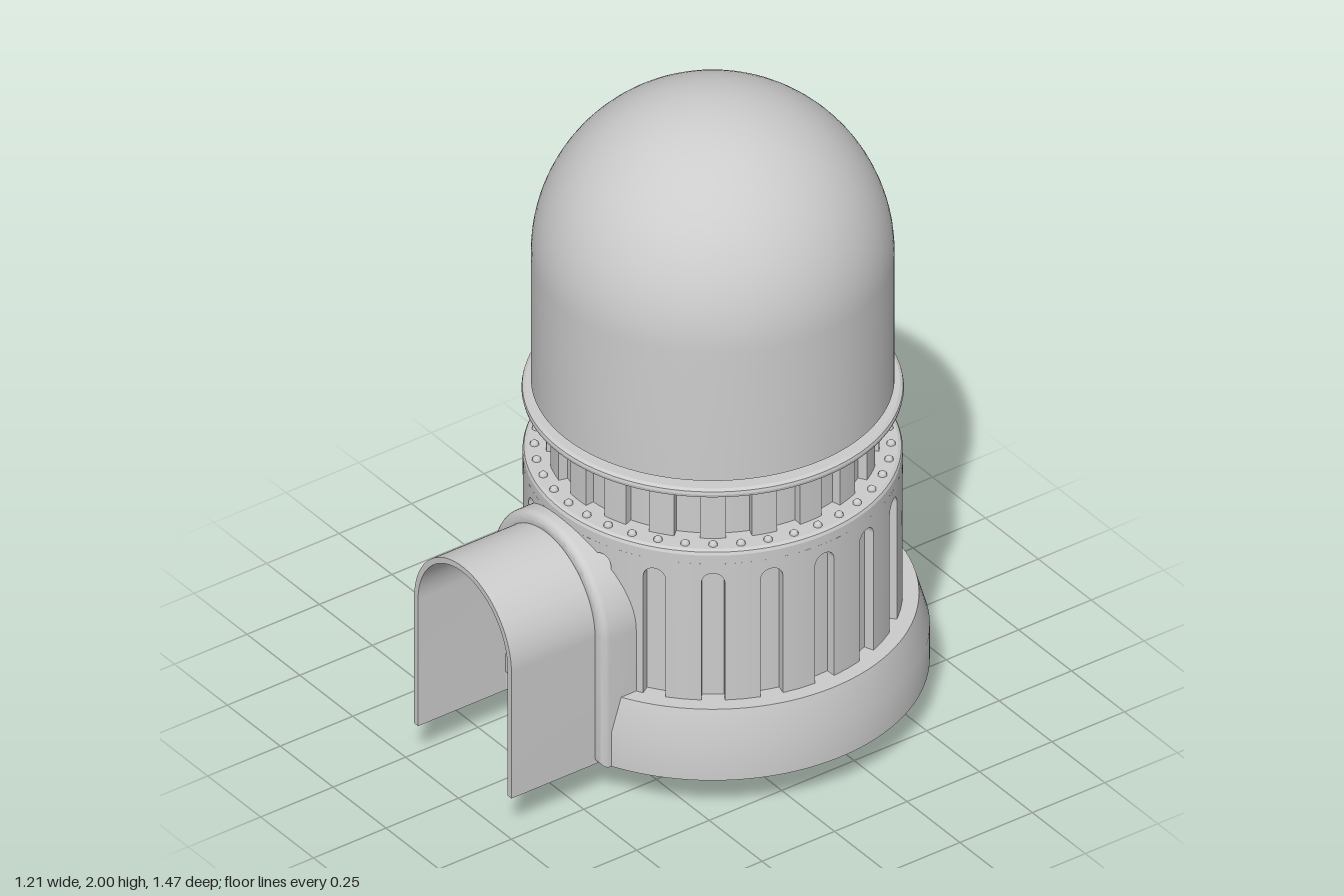
import * as THREE from 'three';
import { toCreasedNormals } from 'three/addons/utils/BufferGeometryUtils.js';

const material = new THREE.MeshStandardMaterial({ color: 0xcccccc, side: THREE.DoubleSide });
const STEP = Math.PI / 10; // twenty bays around the body

export function createModel() {
  const model = new THREE.Group();
  const body = new THREE.Group();
  body.name = 'body';
  body.position.z = -0.127;
  model.add(body);

  const add = (parent, name, geometry) => {
    const mesh = new THREE.Mesh(geometry, material);
    mesh.name = name;
    parent.add(mesh);
    return mesh;
  };
  const lathe = (name, points, start = 0, length = Math.PI * 2) =>
    add(body, name, toCreasedNormals(new THREE.LatheGeometry(
      points.map(p => new THREE.Vector2(...p)), 96, start, length), 0.4));

  // Foot and stepped collar
  lathe('foot', [[0, 0], [0.42, 0], [0.42, 0.095], [0.41, 0.105], [0.39, 0.105], [0.39, 0.125], [0, 0.125]]);

  // Tapered skirt, left open where the tunnel passes through
  const notch = 0.43;
  lathe('skirt', [[0.36, 0.12], [0.605, 0.12], [0.605, 0.235], [0.575, 0.34], [0.45, 0.34]],
    notch, Math.PI * 2 - 2 * notch);

  // Drum core behind the slots, and its rounded top
  lathe('drumCore', [[0, 0.12], [0.5, 0.12], [0.5, 0.82]]);
  lathe('drumTop', [[0.53, 0.8], [0.53, 0.828], [0.526, 0.837], [0.517, 0.842], [0.43, 0.842]]);

  // One bay of drum wall with an arched slot, bent round the drum
  const bayShape = new THREE.Shape();
  const R = 0.53, half = R * STEP / 2, slot = 0.033;
  bayShape.moveTo(-half, 0.33);
  bayShape.lineTo(-slot, 0.33);
  bayShape.lineTo(-slot, 0.735);
  bayShape.absarc(0, 0.735, slot, Math.PI, 0, true);
  bayShape.lineTo(slot, 0.33);
  bayShape.lineTo(half, 0.33);
  for (let i = 0; i <= 8; i++) bayShape.lineTo(half - i * half / 4, 0.8);
  const bay = new THREE.ExtrudeGeometry(bayShape, { depth: 0.03, bevelEnabled: false, curveSegments: 10 });
  const pos = bay.attributes.position, nor = bay.attributes.normal;
  const up = new THREE.Vector3(0, 1, 0), n = new THREE.Vector3();
  for (let i = 0; i < pos.count; i++) {
    const a = pos.getX(i) / R, r = 0.5 + pos.getZ(i);
    pos.setXYZ(i, r * Math.sin(a), pos.getY(i), r * Math.cos(a));
    n.fromBufferAttribute(nor, i).applyAxisAngle(up, a);
    nor.setXYZ(i, n.x, n.y, n.z);
  }
  for (let i = 0; i < 20; i++) add(body, 'drumBay', bay).rotation.y = i * STEP;

  // Studs on the drum's shoulder
  const stud = new THREE.SphereGeometry(0.013, 10, 6);
  for (let i = 0; i < 40; i++) {
    const a = i * STEP / 2;
    add(body, 'stud', stud).position.set(0.497 * Math.sin(a), 0.843, 0.497 * Math.cos(a));
  }

  // Fluted neck
  const neckShape = new THREE.Shape();
  for (let i = 0; i < 20; i++) {
    for (const [r, from] of [[0.465, -0.25], [0.438, 0.25]]) {
      for (let k = 0; k <= 3; k++) {
        const a = (i + from + k / 6) * STEP;
        const x = r * Math.sin(a), y = r * Math.cos(a);
        if (i === 0 && from < 0 && k === 0) neckShape.moveTo(x, y);
        else neckShape.lineTo(x, y);
      }
    }
  }
  const neck = new THREE.ExtrudeGeometry(neckShape, { depth: 0.2, bevelEnabled: false });
  neck.rotateX(-Math.PI / 2);
  add(body, 'neck', toCreasedNormals(neck, 0.4)).position.y = 0.83;

  // Rounded collar with small posts carrying the dome
  lathe('collar', [[0, 1.02], [0.522, 1.02], [0.531, 1.026], [0.533, 1.035], [0.531, 1.044], [0.522, 1.05], [0, 1.05]]);
  const post = new THREE.CylinderGeometry(0.008, 0.008, 0.03, 8);
  for (let i = 0; i < 20; i++) {
    const a = i * STEP;
    add(body, 'post', post).position.set(0.47 * Math.sin(a), 1.055, 0.47 * Math.cos(a));
  }

  // Dome
  const domeProfile = [[0, 1.065], [0.507, 1.065], [0.507, 1.493]];
  for (let i = 1; i <= 24; i++) {
    const a = i / 24 * Math.PI / 2;
    domeProfile.push([0.507 * Math.cos(a), 1.493 + 0.507 * Math.sin(a)]);
  }
  lathe('dome', domeProfile);

  // Arched tunnel parts: outer outline, returning along an inner one if given
  const arch = (outer, inner, bottom = 0.12, centre = 0.545) => {
    const s = new THREE.Shape();
    s.moveTo(outer, bottom);
    s.lineTo(outer, centre);
    s.absarc(0, centre, outer, 0, Math.PI, false);
    s.lineTo(-outer, bottom);
    if (inner) {
      s.lineTo(-inner, bottom);
      s.lineTo(-inner, centre);
      s.absarc(0, centre, inner, Math.PI, 0, true);
      s.lineTo(inner, bottom);
    }
    return s;
  };
  const extrudeArch = (name, shape, back, front, bevel = 0) => {
    const g = new THREE.ExtrudeGeometry(shape, {
      depth: front - back - 2 * bevel, curveSegments: 32, bevelEnabled: bevel > 0,
      bevelSize: bevel, bevelThickness: bevel, bevelOffset: -bevel, bevelSegments: 5,
    });
    g.translate(0, 0, back + bevel);
    add(model, name, toCreasedNormals(g, 0.5));
  };
  extrudeArch('tunnelFrame', arch(0.266, 0.21), 0.22, 0.447, 0.024);
  extrudeArch('tunnel', arch(0.23, 0.212), 0.3, 0.735);
  extrudeArch('tunnelBackWall', arch(0.215, 0, 0.3), 0.3, 0.406);

  // Sloped sill at the foot of the tunnel's back wall
  const sillShape = new THREE.Shape([[0.25, 0.12], [0.4, 0.12], [0.4, 0.14], [0.415, 0.14], [0.415, 0.18],
    [0.435, 0.185], [0.435, 0.24], [0.405, 0.325], [0.25, 0.325]].map(p => new THREE.Vector2(...p)));
  const sill = new THREE.ExtrudeGeometry(sillShape, { depth: 0.42, bevelEnabled: false });
  sill.rotateY(-Math.PI / 2);
  sill.translate(0.21, 0, 0);
  add(model, 'tunnelSill', sill);

  return model;
}
